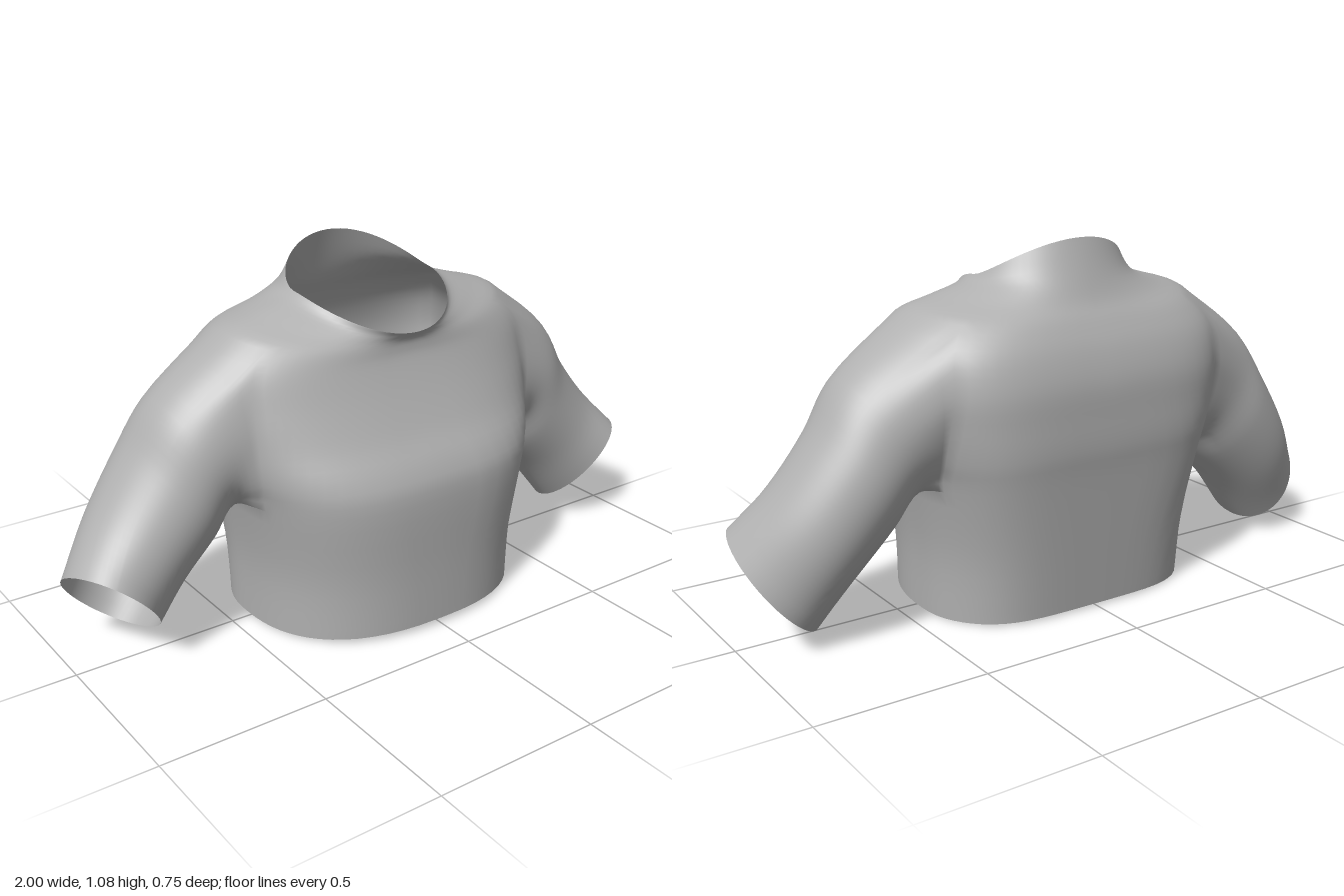
import * as THREE from 'three';
import { mergeVertices } from 'three/addons/utils/BufferGeometryUtils.js';

// Body sections from hem to collar:
// [y front, y side, y back, z front, z back, half width, roundness, side gather]
const SECTIONS = [
  [0.025, 0.005, 0.014, 0.375, -0.312, 0.435, 2.5, 0.1],
  [0.2, 0.2, 0.2, 0.376, -0.333, 0.438, 2.6, 0.2],
  [0.42, 0.41, 0.42, 0.38, -0.358, 0.47, 2.85, 0.32],
  [0.51, 0.5, 0.51, 0.358, -0.37, 0.5, 2.8, 0.22],
  [0.6, 0.6, 0.6, 0.302, -0.372, 0.53, 2.7, 0.1],
  [0.7, 0.7, 0.7, 0.252, -0.37, 0.55, 2.6, 0.02],
  [0.79, 0.81, 0.79, 0.215, -0.347, 0.54, 2.5, 0.02],
  [0.83, 0.895, 0.86, 0.207, -0.312, 0.47, 2.3, 0.06],
  [0.853, 0.932, 0.915, 0.21, -0.278, 0.36, 2.1, 0.02],
  [0.868, 0.958, 0.985, 0.222, -0.25, 0.272, 2, 0],
  [0.88, 0.978, 1.085, 0.235, -0.215, 0.24, 2, 0],
];

// Sleeve rings from shoulder to cuff: centre, upper axis, front axis
const SLEEVE = [
  [[0.588, 0.56, -0.055], [0.097, 0.175, 0], [0, 0, 0.198]],
  [[0.668, 0.452, -0.058], [0.107, 0.148, 0], [-0.01, 0, 0.193]],
  [[0.778, 0.32, -0.044], [0.107, 0.13, 0.02], [-0.03, 0.01, 0.176]],
  [[0.88, 0.193, -0.002], [0.103, 0.135, 0.06], [-0.06, 0.02, 0.143]],
].map(ring => ring.map(p => new THREE.Vector3(...p)));

const SUB = 4, COLS = 32, CENTRE_Z = -0.03;
const ROWS = (SECTIONS.length - 1) * SUB;
const HOLE = { r0: 2 * SUB, r1: 7 * SUB, c0: 9, c1: 22 };

// Smooth interpolation between body sections
function sectionAt(row) {
  const k = Math.min(Math.floor(row / SUB), SECTIONS.length - 2);
  const t = row / SUB - k;
  const at = i => SECTIONS[THREE.MathUtils.clamp(i, 0, SECTIONS.length - 1)];
  return at(k).map((b, i) => {
    const a = at(k - 1)[i], c = at(k + 1)[i], d = at(k + 2)[i];
    return b + 0.5 * t * (c - a + t * (2 * a - 5 * b + 4 * c - d + t * (3 * (b - c) + d - a)));
  });
}

function bodyPoint(row, col) {
  const [yf, ys, yb, zf, zb, w, n, gather] = sectionAt(row);
  const a0 = (col / COLS - 0.5) * Math.PI;
  const a = a0 - gather * Math.sin(2 * a0);
  const s = Math.sin(a), c = Math.max(0, Math.cos(a)), m = Math.abs(s);
  // Shoulder blades stand out beside the spine, fading towards the collar
  const fade = Math.min(1, (ROWS - row) / (3 * SUB));
  const blade = s < 0 ? 1 + 0.08 * fade * Math.sin(2 * a) ** 2 : 1;
  const x = col % COLS === 0 ? 0 : w * Math.pow(c, 2 / n);
  const z = CENTRE_Z + ((s > 0 ? zf : zb) - CENTRE_Z) * Math.pow(m, 2 / n) * blade;
  const y = ys + ((s > 0 ? yf : yb) - ys) * Math.pow(m, 1.5);
  return new THREE.Vector3(x, y, z);
}

function garmentGeometry() {
  const points = [], index = [];
  const quad = (a, b, c, d) => index.push(a, b, c, a, c, d);
  const id = (r, c) => r * (COLS + 1) + c;

  // Half of the body, leaving the armhole open
  for (let r = 0; r <= ROWS; r++)
    for (let c = 0; c <= COLS; c++) points.push(bodyPoint(r, c));
  for (let r = 0; r < ROWS; r++)
    for (let c = 0; c < COLS; c++) {
      const open = r >= HOLE.r0 && r < HOLE.r1 && c >= HOLE.c0 && c < HOLE.c1;
      if (!open) quad(id(r, c), id(r + 1, c), id(r + 1, c + 1), id(r, c + 1));
    }

  // Armhole edge, running over the top towards the front
  const loop = [];
  for (let c = HOLE.c0; c < HOLE.c1; c++) loop.push(id(HOLE.r1, c));
  for (let r = HOLE.r1; r > HOLE.r0; r--) loop.push(id(r, HOLE.c1));
  for (let c = HOLE.c1; c > HOLE.c0; c--) loop.push(id(HOLE.r0, c));
  for (let r = HOLE.r0; r < HOLE.r1; r++) loop.push(id(r, HOLE.c0));

  // Sleeve grown from the armhole edge to the cuff
  const steps = 20;
  const strands = loop.map(i => {
    const p = points[i];
    const t = Math.atan2((p.z + 0.05) / 0.2, (p.y - 0.65) / 0.24);
    const path = [p, ...SLEEVE.map(([o, u, v]) =>
      o.clone().addScaledVector(u, Math.cos(t)).addScaledVector(v, Math.sin(t)))];
    const curve = new THREE.CatmullRomCurve3(path);
    const ids = [i];
    for (let k = 1; k <= steps; k++) ids.push(points.push(curve.getPoint(k / steps)) - 1);
    return ids;
  });
  strands.forEach((s, i) => {
    const next = strands[(i + 1) % strands.length];
    for (let k = 0; k < steps; k++) quad(s[k], next[k], next[k + 1], s[k + 1]);
  });

  // Mirror to the other side and weld the centre seam
  const count = points.length, half = index.length;
  for (let i = 0; i < count; i++) points.push(points[i].clone().setX(-points[i].x));
  for (let i = 0; i < half; i += 3)
    index.push(index[i] + count, index[i + 2] + count, index[i + 1] + count);
  let geometry = new THREE.BufferGeometry().setFromPoints(points);
  geometry.setIndex(index);
  geometry = mergeVertices(geometry, 1e-5);
  geometry.computeVertexNormals();
  return geometry;
}

export function createModel() {
  const group = new THREE.Group();
  group.name = 'croppedShirt';
  const fabric = new THREE.MeshStandardMaterial({ color: 0xb0b0b0, side: THREE.DoubleSide });
  fabric.name = 'grey fabric';
  const shirt = new THREE.Mesh(garmentGeometry(), fabric);
  shirt.name = 'bodyAndSleeves';
  group.add(shirt);
  return group;
}
